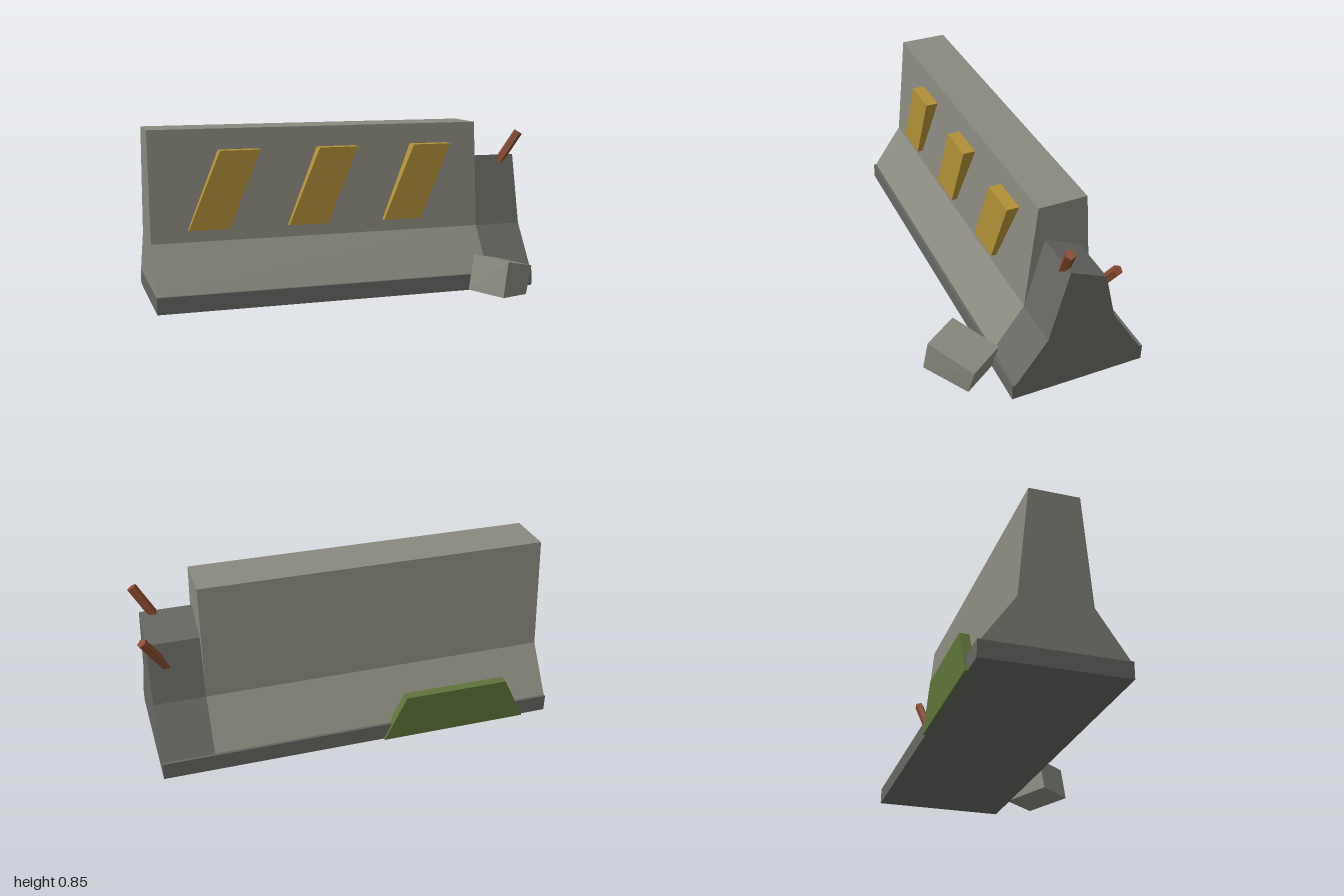
import * as THREE from 'three';
import { ConvexGeometry } from 'three/addons/geometries/ConvexGeometry.js';

const mat = (name, color) => {
  const m = new THREE.MeshStandardMaterial({ color });
  m.name = name;
  return m;
};

export function createModel() {
  const concrete = mat('concrete', 0x89897f);
  const darkConcrete = mat('dark concrete', 0x666662);
  const yellow = mat('faded yellow', 0xb08f36);
  const moss = mat('moss green', 0x5f733a);
  const rust = mat('rust', 0x87492b);

  const group = new THREE.Group();
  const add = (name, geometry, material) => {
    const mesh = new THREE.Mesh(geometry, material);
    mesh.name = name;
    group.add(mesh);
    return mesh;
  };
  const extrude = (points, depth) => new THREE.ExtrudeGeometry(
    new THREE.Shape(points.map(([x, y]) => new THREE.Vector2(x, y))),
    { depth, bevelEnabled: false });

  // Profiles are [z, y] sections swept along x from x0 to x1
  const sweep = (profile, x0, x1) =>
    extrude(profile.map(([z, y]) => [-z, y]), x1 - x0).rotateY(Math.PI / 2).translate(x0, 0, 0);

  // Foot slab
  add('base', new THREE.BoxGeometry(1.955, 0.082, 0.676).translate(-0.0225, 0.041, -0.15), darkConcrete);

  // Flared barrier wall
  add('wall', sweep([
    [0.175, 0.08], [0.02, 0.305], [-0.03, 0.85],
    [-0.27, 0.85], [-0.32, 0.305], [-0.475, 0.08],
  ], -1, 0.706), concrete);

  // Broken end with a slanted top
  add('brokenEnd', sweep([
    [0.175, 0.08], [0.02, 0.305], [-0.07, 0.667],
    [-0.25, 0.588], [-0.32, 0.305], [-0.475, 0.08],
  ], 0.706, 0.955), darkConcrete);

  // Slanted warning stripes on the front
  for (let i = 0; i < 3; i++) {
    const x = -0.82 + i * 0.5;
    add('stripe' + (i + 1), extrude([
      [x, 0.365], [x + 0.2, 0.365], [x + 0.36, 0.748], [x + 0.16, 0.748],
    ], 0.073).translate(0, 0, -0.031), yellow);
  }

  // Moss patch at the foot of the back
  add('mossPatch', extrude([
    [-0.87, 0], [-0.13, 0], [-0.24, 0.224], [-0.76, 0.224],
  ], 0.045).translate(0, 0, -0.5), moss);

  // Bent reinforcing bars sticking out of the broken end
  const bar = (name, from, to) => {
    const a = new THREE.Vector3(...from), b = new THREE.Vector3(...to);
    const dir = b.clone().sub(a);
    const geo = new THREE.CylinderGeometry(0.025, 0.025, dir.length(), 5).toNonIndexed();
    geo.computeVertexNormals();
    const mesh = add(name, geo, rust);
    mesh.position.copy(a).add(b).multiplyScalar(0.5);
    mesh.quaternion.setFromUnitVectors(new THREE.Vector3(0, 1, 0), dir.normalize());
  };
  bar('frontBar', [0.86, 0.6, -0.085], [0.975, 0.79, -0.048]);
  bar('backBar', [0.865, 0.46, -0.258], [0.975, 0.628, -0.289]);

  // Loose chunk lying in front
  add('rubble', new ConvexGeometry([
    [0.665, 0.204, 0.485], [0.56, 0.217, 0.318], [0.87, 0.143, 0.34], [0.765, 0.155, 0.172],
    [0.635, 0.03, 0.5], [0.525, 0.042, 0.335], [0.835, 0, 0.355], [0.735, 0.012, 0.19],
  ].map(p => new THREE.Vector3(...p))), concrete);

  return group;
}
